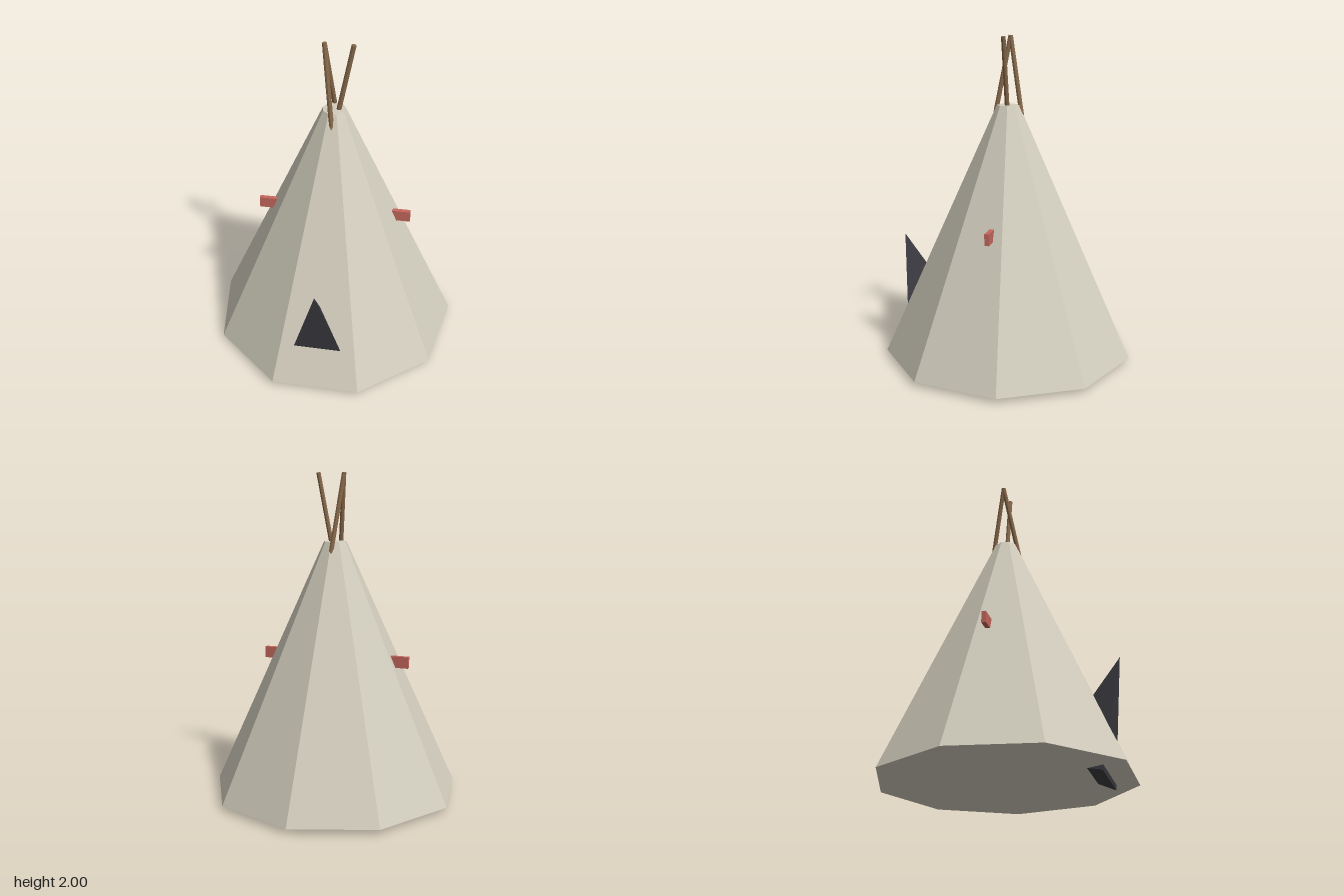
import * as THREE from 'three';

export function createModel() {
  const model = new THREE.Group();
  model.name = 'tent';

  const paint = (name, color) => {
    const m = new THREE.MeshStandardMaterial({ color, flatShading: true });
    m.name = name;
    return m;
  };
  const canvas = paint('canvas beige', 0xd2cdbd);
  const wood = paint('pole brown', 0x86684a);
  const dark = paint('doorway charcoal', 0x3b3a40);
  const red = paint('toggle red', 0xc4675c);

  const add = (name, geometry, material, x, y, z) => {
    const mesh = new THREE.Mesh(geometry, material);
    mesh.name = name;
    mesh.position.set(x, y, z);
    model.add(mesh);
    return mesh;
  };
  const axisZ = 0.02; // the nine-sided cover has a corner at the back

  // Nine-sided cover, closed above and below
  const bottom = 0.03, top = 1.585;
  const cover = add('cover', new THREE.CylinderGeometry(0.07, 0.775, top - bottom, 9),
    canvas, 0, (bottom + top) / 2, axisZ);
  cover.rotation.y = Math.PI;

  // Doorway: a leaning three-sided pyramid, flat side forward
  const doorGeometry = new THREE.ConeGeometry(0.26, 0.725, 3);
  doorGeometry.rotateY(Math.PI);
  const door = add('doorway', doorGeometry, dark, 0, 0.385, 0.6);
  door.rotation.x = 0.31;

  // Poles rising through the cover
  const pole = (name, from, to) => {
    const a = new THREE.Vector3(...from), b = new THREE.Vector3(...to);
    const direction = b.clone().sub(a);
    const mid = a.clone().add(b).multiplyScalar(0.5);
    const mesh = add(name, new THREE.CylinderGeometry(0.014, 0.015, direction.length(), 8),
      wood, mid.x, mid.y, mid.z);
    mesh.quaternion.setFromUnitVectors(new THREE.Vector3(0, 1, 0), direction.normalize());
  };
  pole('leftPole', [-0.05, 1.2, axisZ], [0.11, 1.997, axisZ]);
  pole('frontPole', [0.032, 1.2, axisZ + 0.14], [-0.056, 1.997, axisZ]);
  pole('backPole', [0.032, 1.2, axisZ - 0.14], [-0.056, 1.997, axisZ]);

  // Side toggles
  for (const [name, side] of [['leftToggle', 1], ['rightToggle', -1]]) {
    add(name, new THREE.BoxGeometry(0.145, 0.07, 0.027), red, side * 0.4025, 0.865, axisZ);
  }

  return model;
}
